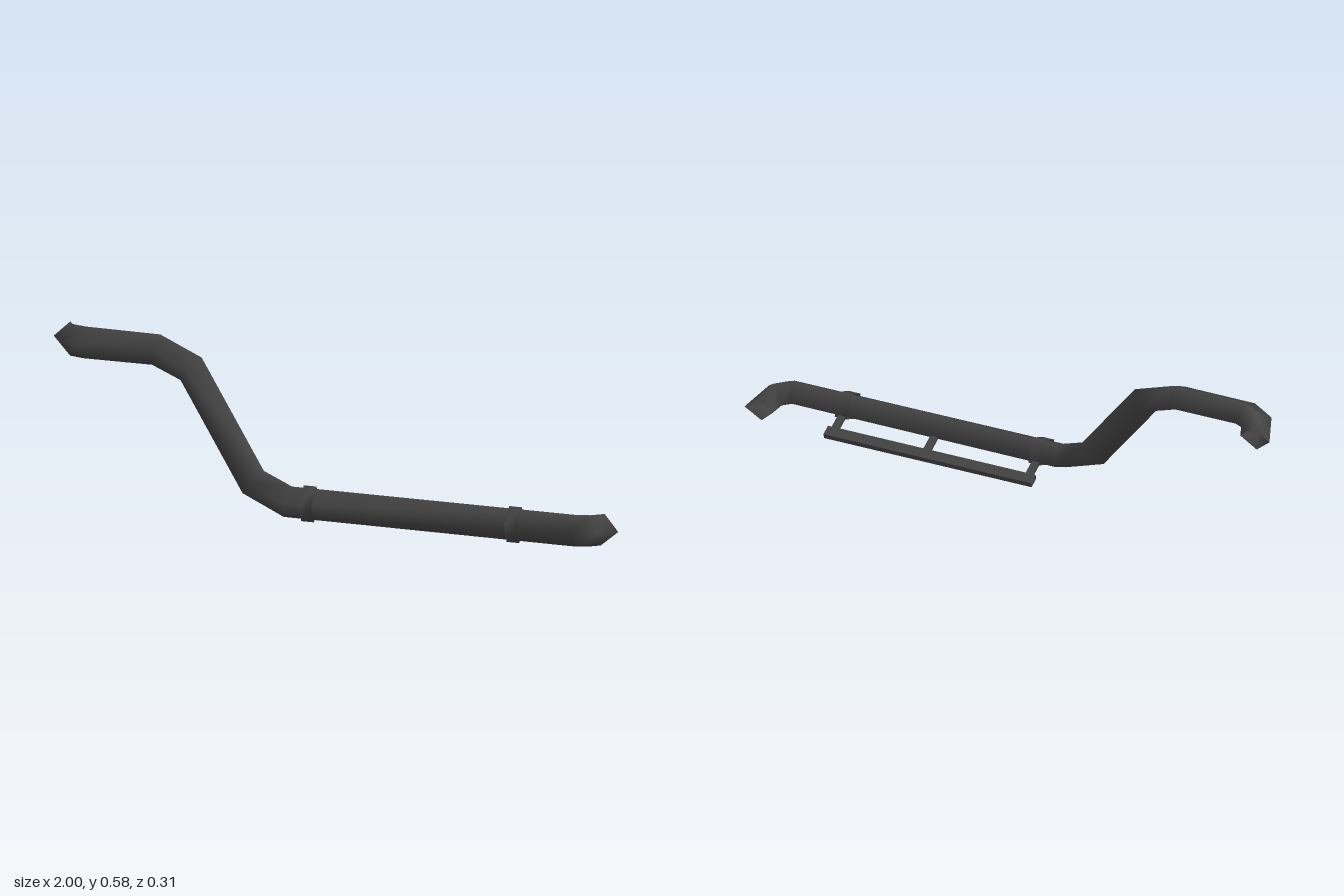
import * as THREE from 'three';

const V = (x, y, z) => new THREE.Vector3(x, y, z);
const UP = V(0, 0.957, -0.29);    // "up" of the leaning pipe
const BACK = V(0, -0.29, -0.957); // direction of both hooked ends and the mounts

// Diamond cross-section of the pipe and straps
const diamond = (r) => [[r, 0], [0, r], [-r, 0], [0, -r]];

// Sweeps a closed profile along a path, leaving both ends open
function sweep(path, profile, startDir, endDir) {
  const seg = (i) => path[i + 1].clone().sub(path[i]).normalize();
  const last = path.length - 1;
  const n = profile.length;
  const pos = [], index = [];
  let prev = null;
  const a = UP.clone();
  path.forEach((p, i) => {
    let t;
    if (i === 0) t = startDir ? startDir.clone() : seg(0);
    else if (i === last) t = endDir ? endDir.clone() : seg(last - 1);
    else t = seg(i - 1).add(seg(i));
    t.normalize();
    if (prev) a.applyQuaternion(new THREE.Quaternion().setFromUnitVectors(prev, t));
    a.addScaledVector(t, -a.dot(t)).normalize();
    const b = t.clone().cross(a);
    for (const [u, w] of profile) {
      pos.push(...p.clone().addScaledVector(a, u).addScaledVector(b, w).toArray());
    }
    prev = t;
  });
  for (let i = 0; i < last; i++) {
    for (let k = 0; k < n; k++) {
      const p = i * n + k, q = i * n + (k + 1) % n;
      index.push(p, q, p + n, q, q + n, p + n);
    }
  }
  const geo = new THREE.BufferGeometry();
  geo.setAttribute('position', new THREE.Float32BufferAttribute(pos, 3));
  geo.setIndex(index);
  geo.computeVertexNormals();
  return geo;
}

export function createModel() {
  const model = new THREE.Group();
  const metal = new THREE.MeshStandardMaterial({ color: 0x424242, side: THREE.DoubleSide });
  metal.name = 'dark metal';
  const add = (name, geo) => {
    const mesh = new THREE.Mesh(geo, metal);
    mesh.name = name;
    model.add(mesh);
    return mesh;
  };

  // Bent pipe with hooked open ends
  const path = [
    V(-0.946, 0.501, -0.142), V(-0.922, 0.522, -0.075), V(-0.87, 0.529, -0.049),
    V(-0.62, 0.529, -0.049), V(-0.495, 0.478, -0.034),
    V(-0.25, 0.137, 0.081), V(-0.125, 0.085, 0.098),
    V(0.865, 0.085, 0.098), V(0.914, 0.077, 0.071), V(0.944, 0.054, -0.003),
  ];
  add('pipe', sweep(path, diamond(0.054), BACK.clone().negate(), BACK));

  // Clamping straps around the straight run
  for (const x of [-0.052, 0.662]) {
    const strap = [V(x - 0.022, 0.085, 0.098), V(x + 0.022, 0.085, 0.098)];
    add('strap', sweep(strap, diamond(0.061)));
  }

  // Flat rail behind the pipe, open at its ends
  const h = 0.01, w = 0.02;
  const rail = sweep([V(-0.08, 0.046, -0.029), V(0.685, 0.046, -0.029)],
    [[h, -w], [h, w], [-h, w], [-h, -w]]).toNonIndexed();
  rail.computeVertexNormals();
  add('rail', rail);

  // Mounts joining pipe and rail
  const tilt = Math.atan2(BACK.y, BACK.z) + Math.PI;
  for (const x of [-0.055, 0.322, 0.66]) {
    const mount = add('mount', new THREE.BoxGeometry(0.026, 0.012, 0.07));
    mount.position.set(x, 0.062, 0.022);
    mount.rotation.x = -tilt;
  }
  return model;
}
